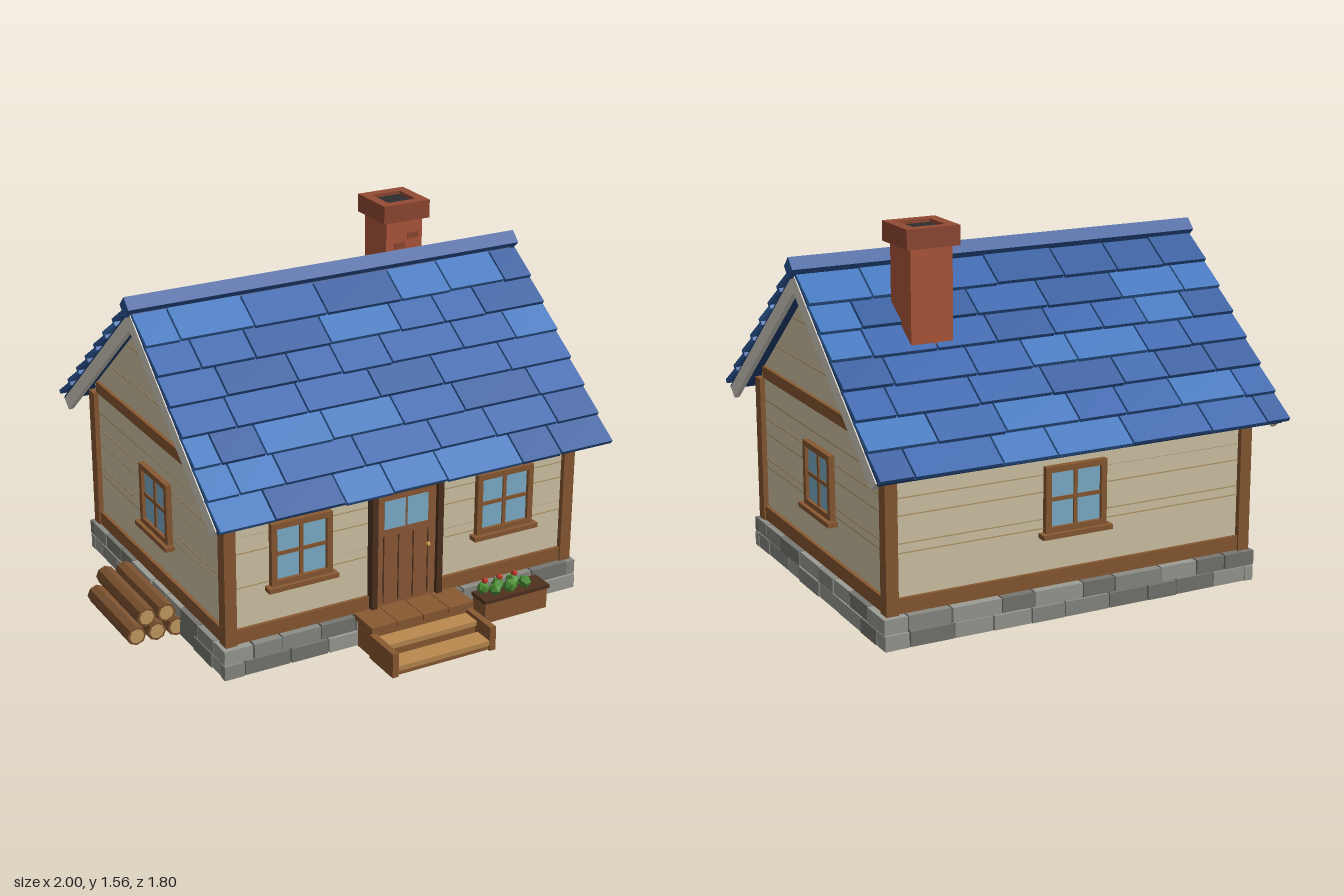
import * as THREE from 'three';

const C = {
  wall: 0xd6c9aa, groove: 0xb59a6c, timber: 0x8a5a33, dark: 0x4f3220, door: 0x8f5c38, glass: 0x7fb3cf,
  trim: 0xd8d2c8, deck: 0x1f3f78, ridge: 0x2c579c, base: 0x2d2d2d, brick: 0xb2583a, cap: 0x934a33,
  step: 0xbb8a50, bark: 0x7d5230, cut: 0xc79d63, leaf: 0x4c8f35, flower: 0xc0392b, knob: 0xd0a040,
};
const BLUES = [0x3464ae, 0x3464ae, 0x2f5b9f, 0x3d76bf];
const GREYS = [0x8b8c86, 0x777872, 0x9c9d95];
const CX = 0.073, CZ = -0.095; // centre of the house
const HX = 0.805, HZ = 0.645; // half size of the walls

const mats = {};
const mat = (color) => (mats[color] ??= new THREE.MeshStandardMaterial({ color, flatShading: true }));

let seed = 11;
const rnd = () => (seed = (seed * 16807) % 2147483647) / 2147483647;
const pick = (list) => list[Math.floor(rnd() * list.length)];

function add(parent, name, geometry, color, x = 0, y = 0, z = 0) {
  const m = new THREE.Mesh(geometry, mat(color));
  m.name = name;
  m.position.set(x, y, z);
  parent.add(m);
  return m;
}
const box = (parent, name, color, w, h, d, x, y, z) =>
  add(parent, name, new THREE.BoxGeometry(w, h, d), color, x, y, z);

function group(parent, name, x = 0, y = 0, z = 0, ry = 0) {
  const g = new THREE.Group();
  g.name = name;
  g.position.set(x, y, z);
  g.rotation.y = ry;
  parent.add(g);
  return g;
}

// Profile of [z, y] points extruded along x, centred at x
function gable(parent, name, color, points, depth, x = 0) {
  const shape = new THREE.Shape(points.map(([a, b]) => new THREE.Vector2(a, b)));
  const geo = new THREE.ExtrudeGeometry(shape, { depth, bevelEnabled: false });
  geo.translate(0, 0, -depth / 2).rotateY(-Math.PI / 2);
  return add(parent, name, geo, color, x);
}

// Split a span into random pieces, calling fn(centre, width)
function pieces(from, to, min, vary, fn) {
  let x = from, w = (min + vary * rnd()) * (0.5 + 0.5 * rnd());
  while (x < to - 0.001) {
    if (to - x - w < 0.06) w = to - x;
    fn(x + w / 2, w);
    x += w;
    w = min + vary * rnd();
  }
}

// Four-pane window facing +z, origin at the wall surface
function windowUnit(parent, x, z, ry) {
  const g = group(parent, 'window', x, 0.493, z, ry);
  box(g, 'windowGlass', C.glass, 0.24, 0.24, 0.02, 0, 0, 0);
  for (const s of [-1, 1]) {
    box(g, 'windowJamb', C.timber, 0.025, 0.275, 0.05, s * 0.125, 0, 0);
    box(g, 'windowRail', C.timber, 0.225, 0.025, 0.05, 0, s * 0.125, 0);
  }
  box(g, 'windowMullion', C.timber, 0.016, 0.23, 0.034, 0, 0, 0);
  box(g, 'windowMullion', C.timber, 0.23, 0.016, 0.032, 0, 0, 0);
  box(g, 'windowSill', C.timber, 0.315, 0.02, 0.085, 0, -0.145, 0);
}

function buildWalls(house) {
  gable(house, 'walls', C.wall, [[-HZ, 0.12], [HZ, 0.12], [HZ, 0.8], [0, 1.34], [-HZ, 0.8]], HX * 2);
  // Plank grooves
  for (const y of [0.375, 0.525, 0.675]) box(house, 'plankLine', C.groove, HX * 2, 0.005, HZ * 2 + 0.003, 0, y, 0);
  for (const y of [0.413, 0.595, 0.945, 1.11, 1.25])
    box(house, 'plankLine', C.groove, HX * 2 + 0.003, 0.005, 2 * Math.min(HZ, (1.33 - y) / 0.839), 0, y, 0);
  // Timber frame
  box(house, 'sillBeam', C.timber, HX * 2 + 0.03, 0.062, HZ * 2 + 0.03, 0, 0.167, 0);
  for (const sx of [-1, 1]) {
    box(house, 'tieBeam', C.timber, 0.03, 0.05, 1.2, sx * HX, 0.805, 0);
    for (const sz of [-1, 1]) box(house, 'cornerPost', C.timber, 0.052, 0.635, 0.055, sx * 0.801, 0.452, sz * 0.641);
    windowUnit(house, sx * HX, 0, sx * Math.PI / 2);
    windowUnit(house, sx * 0.481, HZ, 0);
  }
  windowUnit(house, 0, -HZ, Math.PI);
}

function buildFoundation(house) {
  const g = group(house, 'foundation');
  box(g, 'foundationCore', C.base, 1.65, 0.13, 1.34, 0, 0.065, 0);
  for (const row of [0, 1])
    for (let side = 0; side < 4; side++) {
      const [half, out] = side % 2 ? [0.69, 0.845] : [0.845, 0.69];
      const wall = group(g, 'stoneCourse', 0, 0.034 + row * 0.067, 0, side * Math.PI / 2);
      pieces(-half, half, 0.13, 0.09, (x, w) =>
        box(wall, 'stone', pick(GREYS), w - 0.006, 0.062, 0.04, x, 0, out - 0.02 - 0.008 * rnd()));
    }
}

function buildDoor(house) {
  const g = group(house, 'door', 0, 0, HZ);
  box(g, 'doorPanel', C.door, 0.29, 0.51, 0.03, 0, 0.395, 0.005);
  for (const s of [-1, 1]) {
    box(g, 'doorJamb', C.dark, 0.026, 0.535, 0.06, s * 0.155, 0.412, 0.01);
    box(g, 'doorPane', C.glass, 0.098, 0.125, 0.006, s * 0.054, 0.55, 0.02);
  }
  box(g, 'doorLintel', C.dark, 0.336, 0.032, 0.06, 0, 0.664, 0.01);
  for (const x of [-0.075, -0.005, 0.065, 0.135])
    box(g, 'doorGroove', C.dark, 0.005, 0.3, 0.004, x - 0.03, 0.305, 0.02);
  add(g, 'doorKnob', new THREE.SphereGeometry(0.011, 8, 6), C.knob, 0.102, 0.38, 0.03);
}

function buildRoof(house) {
  const roof = group(house, 'roof');
  gable(roof, 'roofDeck', C.deck,
    [[0, 1.345], [0.77, 0.699], [0.782, 0.709], [0, 1.365], [-0.782, 0.709], [-0.77, 0.699]], 1.8);
  for (const s of [-1, 1])
    gable(roof, 'bargeBoard', C.trim,
      [[0, 1.275], [0.72, 0.671], [0.765, 0.709], [0, 1.35], [-0.765, 0.709], [-0.72, 0.671]], 0.022, s * 0.894);
  // Seven overlapping shingle courses on each slope
  const pitch = 40 * Math.PI / 180;
  for (const ry of [0, Math.PI]) {
    const slope = group(group(roof, 'roofSlope', 0, 1.365, 0, ry), 'shingles');
    slope.rotation.x = pitch;
    for (let k = 0; k < 7; k++) {
      const end = (0.795 - 0.107 * k) / Math.cos(pitch);
      pieces(-0.912, 0.912, 0.19, 0.18, (x, w) => {
        const m = box(slope, 'shingle', pick(BLUES), w - 0.008, 0.018, 0.16, x, 0.02, end - 0.08 - 0.006 * rnd());
        m.rotation.x = -0.12;
      });
    }
  }
  box(roof, 'ridgeCap', C.ridge, 1.848, 0.062, 0.062, 0, 1.376, 0).rotation.x = Math.PI / 4;
}

function buildChimney(root) {
  const g = group(root, 'chimney', 0.551, 0, -0.368);
  box(g, 'chimneyStack', C.brick, 0.18, 0.55, 0.185, 0, 1.225, 0);
  // Hollow cap
  for (const s of [-1, 1]) {
    box(g, 'chimneyCap', C.cap, 0.228, 0.08, 0.045, 0, 1.523, s * 0.0915);
    box(g, 'chimneyCap', C.cap, 0.045, 0.08, 0.138, s * 0.0915, 1.523, 0);
  }
  box(g, 'flue', C.base, 0.138, 0.06, 0.138, 0, 1.518, 0);
  // Raised bricks on the front
  for (let i = 0; i < 6; i++)
    box(g, 'raisedBrick', C.cap, 0.055, 0.027, 0.008, (i % 2 ? 0.04 : -0.035) + 0.02 * rnd(), 1.21 + i * 0.04, 0.093);
}

function buildSteps(root) {
  const g = group(root, 'steps', CX, 0, 0);
  for (let i = 0; i < 4; i++) box(g, 'landingPlank', C.timber, 0.119, 0.025, 0.15, -0.183 + i * 0.122, 0.13, 0.645);
  box(g, 'landingBase', C.timber, 0.47, 0.117, 0.13, 0, 0.059, 0.64);
  for (const s of [-1, 1]) box(g, 'stringer', C.timber, 0.028, 0.107, 0.185, s * 0.23, 0.0535, 0.797);
  [[0.09, 0.743], [0.045, 0.842]].forEach(([y, z]) => {
    box(g, 'tread', C.step, 0.434, 0.022, 0.09, 0, y - 0.011, z);
    box(g, 'riser', C.timber, 0.434, y - 0.022, 0.08, 0, (y - 0.022) / 2, z - 0.006);
  });
}

function buildPlanter(root) {
  const g = group(root, 'flowerBox', 0.552, 0, 0.637);
  box(g, 'planterBox', C.timber, 0.31, 0.095, 0.1, 0, 0.0475, 0);
  box(g, 'planterRim', C.dark, 0.325, 0.016, 0.115, 0, 0.102, 0);
  for (let i = 0; i < 6; i++) {
    const x = -0.125 + i * 0.037, z = (i % 2 ? 0.018 : -0.018);
    add(g, 'leaves', new THREE.IcosahedronGeometry(0.027 + 0.006 * rnd(), 0), C.leaf, x, 0.132, z).rotation.y = i;
    if (i % 2 === 0) add(g, 'flower', new THREE.IcosahedronGeometry(0.015, 0), C.flower, x + 0.008, 0.163, z);
  }
}

function buildLogs(root) {
  const g = group(root, 'logPile', 0, 0, -0.057);
  [[-0.957, 0.043], [-0.867, 0.043], [-0.778, 0.043], [-0.912, 0.121], [-0.825, 0.121]].forEach(([x, y], i) => {
    const len = 0.425 + 0.003 * i;
    add(g, 'log', new THREE.CylinderGeometry(0.042, 0.042, len, 8).rotateX(Math.PI / 2), C.bark, x, y, 0);
    add(g, 'logCut', new THREE.CylinderGeometry(0.032, 0.032, len + 0.006, 8).rotateX(Math.PI / 2), C.cut, x, y, 0);
  });
}

export function createModel() {
  const root = new THREE.Group();
  root.name = 'cottage';
  const house = group(root, 'house', CX, 0, CZ);
  buildFoundation(house);
  buildWalls(house);
  buildDoor(house);
  buildRoof(house);
  buildChimney(root);
  buildSteps(root);
  buildPlanter(root);
  buildLogs(root);
  return root;
}
